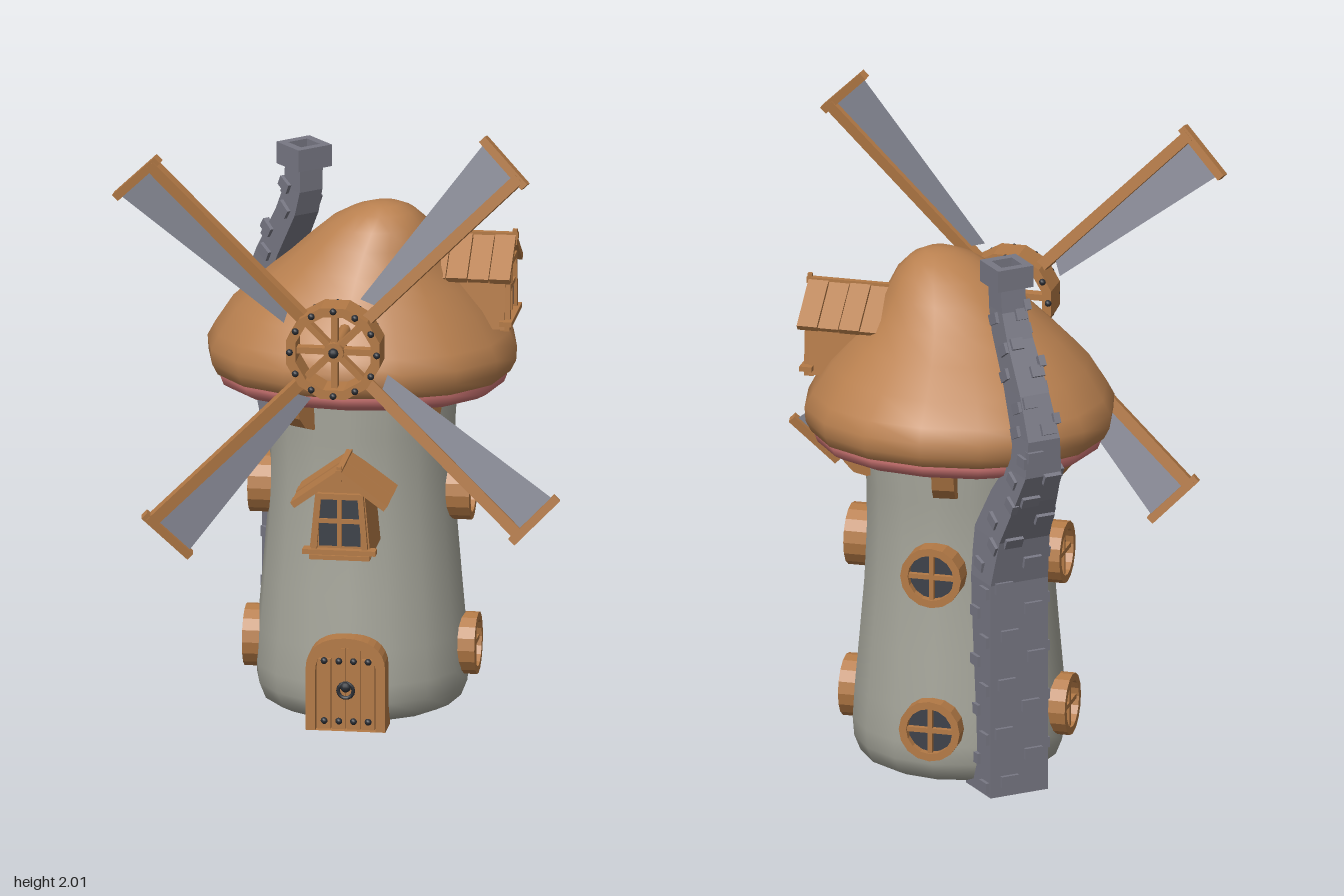
import * as THREE from 'three';
import { mergeVertices } from 'three/addons/utils/BufferGeometryUtils.js';

const mat = (name, color, extra = {}) => Object.assign(new THREE.MeshStandardMaterial({ color, ...extra }), { name });
const AXIS_Z = -0.09; // tower axis

export function createModel() {
  const wood = mat('wood', 0xb47a46);
  const cap = mat('cap', 0xba8150);
  const gill = mat('gill', 0xcf7674);
  const plaster = mat('plaster', 0xa6a69b);
  const stone = mat('stone', 0x787884);
  const glass = mat('glass', 0x3d4149);
  const iron = mat('iron', 0x2b2e34);
  const sail = mat('sail', 0x8b8d99, { side: THREE.DoubleSide });

  const model = new THREE.Group();
  const group = (name, parent, x = 0, y = 0, z = 0, ry = 0) => {
    const g = new THREE.Group();
    g.name = name;
    g.position.set(x, y, z);
    g.rotation.y = ry;
    parent.add(g);
    return g;
  };
  const add = (parent, name, geo, m, x = 0, y = 0, z = 0) => {
    const mesh = new THREE.Mesh(geo, m);
    mesh.name = name;
    mesh.position.set(x, y, z);
    parent.add(mesh);
    return mesh;
  };
  const box = (parent, name, m, w, h, d, x, y, z) => add(parent, name, new THREE.BoxGeometry(w, h, d), m, x, y, z);
  const V2 = (pts) => pts.map(([x, y]) => new THREE.Vector2(x, y));
  const polygon = (r, n, phase = 0) => V2(Array.from({ length: n }, (_, i) => {
    const a = phase + (i / n) * Math.PI * 2;
    return [r * Math.cos(a), r * Math.sin(a)];
  }));
  const extrude = (shape, depth) => new THREE.ExtrudeGeometry(shape, { depth, bevelEnabled: false, curveSegments: 8 });
  const ring = (outer, inner, depth, n, phase = 0) => {
    const s = new THREE.Shape(polygon(outer, n, phase));
    s.holes.push(new THREE.Path(polygon(inner, n, phase)));
    return extrude(s, depth);
  };

  // Smooth turned body whose vertices are shifted by a rule
  const turned = (pts, rule) => {
    let g = new THREE.LatheGeometry(V2(pts), 16);
    g.deleteAttribute('uv');
    g.deleteAttribute('normal');
    const p = g.attributes.position;
    for (let i = 0; rule && i < p.count; i++) {
      const v = new THREE.Vector3().fromBufferAttribute(p, i);
      rule(v);
      p.setXYZ(i, v.x, v.y, v.z);
    }
    g = mergeVertices(g, 1e-4);
    g.computeVertexNormals();
    return g;
  };

  // Tower
  add(model, 'tower', turned([[0, 0.01], [0.27, 0.01], [0.31, 0.03], [0.33, 0.08], [0.335, 0.14], [0.328, 0.25],
    [0.313, 0.42], [0.298, 0.6], [0.29, 0.78], [0.292, 0.92], [0.3, 1.04], [0.3, 1.16]]), plaster, 0, 0, AXIS_Z);

  // Drooping cap with its peak pushed off the axis
  const lean = (v) => {
    const t = THREE.MathUtils.clamp((v.y - 1.25) / 0.39, 0, 1);
    const side = Math.pow(v.x / (Math.hypot(v.x, v.z) || 1), 2);
    v.y -= v.y < 1.25 ? 0.025 * side : 0;
    v.x += 0.085 * t * t;
    v.z += 0.075 * t;
  };
  add(model, 'mushroomCap', turned([[0.44, 1.1], [0.465, 1.11], [0.483, 1.145], [0.486, 1.19], [0.462, 1.235], [0.405, 1.3],
    [0.325, 1.38], [0.255, 1.45], [0.2, 1.52], [0.155, 1.575], [0.1, 1.615], [0.05, 1.635], [0, 1.64]], lean), cap, 0, 0, AXIS_Z);
  add(model, 'capUnderside', turned([[0.28, 1.14], [0.35, 1.105], [0.385, 1.068], [0.415, 1.058], [0.445, 1.075],
    [0.455, 1.1], [0.45, 1.125]], lean), gill, 0, 0, AXIS_Z);

  // Brackets under the cap
  const bracketShape = new THREE.Shape(V2([[0.26, 0.95], [0.3, 0.95], [0.34, 0.965], [0.37, 1], [0.385, 1.05], [0.39, 1.12], [0.26, 1.12]]));
  for (let i = 0; i < 5; i++) {
    const g = group('bracket', model, 0, 0, AXIS_Z, THREE.MathUtils.degToRad(43 + i * 72) - Math.PI / 2);
    add(g, 'bracketBlock', extrude(bracketShape, 0.07), wood, 0, 0, -0.035);
  }

  // Round windows in two rows on both sides and the back
  for (const a of [1, 2, 3]) for (const [y, r] of [[0.2, 0.365], [0.7, 0.348]]) {
    const turn = group('roundWindow', model, 0, y, AXIS_Z, a * Math.PI / 2);
    const w = group('windowParts', turn, 0, 0, r);
    add(w, 'windowFrame', ring(0.098, 0.074, 0.1, 16), wood, 0, 0, -0.1);
    add(w, 'windowGlass', new THREE.CircleGeometry(0.08, 16), glass, 0, 0, -0.025);
    box(w, 'windowBar', wood, 0.015, 0.15, 0.02, 0, 0, -0.018);
    box(w, 'windowBar', wood, 0.15, 0.015, 0.02, 0, 0, -0.018);
  }

  // Arched door
  const arch = (w, h, C) => {
    const s = new C();
    s.moveTo(-w, 0.008);
    s.lineTo(w, 0.008);
    s.lineTo(w, h - w * 0.8);
    s.bezierCurveTo(w, h - w * 0.25, w * 0.55, h, 0, h);
    s.bezierCurveTo(-w * 0.55, h, -w, h - w * 0.25, -w, h - w * 0.8);
    s.closePath();
    return s;
  };
  const door = group('door', model);
  const frame = arch(0.125, 0.308, THREE.Shape);
  frame.holes.push(arch(0.095, 0.278, THREE.Path));
  add(door, 'doorFrame', extrude(frame, 0.11), wood, 0, 0, 0.18);
  add(door, 'doorBoard', extrude(arch(0.096, 0.279, THREE.Shape), 0.07), wood, 0, 0, 0.19);
  for (const x of [-0.069, -0.023, 0.023, 0.069]) {
    const h = Math.abs(x) > 0.05 ? 0.225 : 0.262;
    box(door, 'doorPlank', wood, 0.041, h, 0.02, x, 0.01 + h / 2, 0.265);
    for (const y of [0.036, 0.23]) add(door, 'doorStud', new THREE.SphereGeometry(0.011, 8, 6), iron, x, y, 0.275);
  }
  add(door, 'doorKnob', new THREE.SphereGeometry(0.017, 10, 8), iron, 0, 0.15, 0.285);
  add(door, 'doorRing', new THREE.TorusGeometry(0.024, 0.006, 6, 14), iron, 0, 0.138, 0.284);

  // Gabled dormers: origin at the middle of the front wall's foot
  const wallShape = new THREE.Shape(V2([[-0.097, 0], [0.097, 0], [0.078, 0.2], [0, 0.262], [-0.078, 0.2]]));
  const dormer = (name, x, y, z, ry, depth) => {
    const d = group(name, model, x, y, z, ry);
    add(d, 'dormerWalls', extrude(wallShape, depth), wood, 0, 0, -depth);
    box(d, 'dormerSill', wood, 0.23, 0.016, 0.04, 0, 0.022, 0.005);
    box(d, 'dormerFoot', wood, 0.19, 0.014, 0.03, 0, 0.002, 0);
    box(d, 'dormerGlass', glass, 0.13, 0.155, 0.008, 0, 0.116, 0.001);
    for (const s of [-1, 1]) {
      box(d, 'windowPost', wood, 0.018, 0.17, 0.025, s * 0.073, 0.115, 0.004).rotation.z = s * 0.08;
      // overlapping roof planks
      for (let i = 0; i < 4; i++) {
        const len = (depth + 0.03) / 4;
        const plank = box(d, 'roofPlank', wood, 0.182, i % 2 ? 0.016 : 0.021, len - 0.003, s * 0.073, 0.223, 0.025 - len * (i + 0.5));
        plank.rotation.z = -s * 0.63;
      }
    }
    box(d, 'windowHeader', wood, 0.15, 0.018, 0.025, 0, 0.2, 0.004);
    box(d, 'windowBar', wood, 0.014, 0.155, 0.016, 0, 0.116, 0.004);
    box(d, 'windowBar', wood, 0.13, 0.014, 0.016, 0, 0.12, 0.004);
    box(d, 'ridgePole', wood, 0.018, 0.02, depth + 0.04, 0, 0.279, 0.01 - depth / 2);
    box(d, 'ridgePeak', wood, 0.014, 0.05, 0.014, 0, 0.275, 0.02);
  };
  dormer('frontDormer', 0, 0.607, 0.415, 0, 0.22);
  dormer('capDormer', 0.46, 1.245, AXIS_Z, Math.PI / 2, 0.24);

  // Stone chimney bent round the brim; rows are y, inner and outer distance, width
  const rows = [[0, 0.24, 0.41, 0.2], [0.7, 0.24, 0.41, 0.2], [0.85, 0.27, 0.445, 0.175], [1, 0.36, 0.525, 0.145], [1.1, 0.44, 0.575, 0.125],
    [1.22, 0.46, 0.58, 0.11], [1.35, 0.4, 0.515, 0.1], [1.5, 0.31, 0.415, 0.09], [1.58, 0.285, 0.375, 0.085], [1.67, 0.282, 0.365, 0.085]];
  const chimney = group('chimney', model, 0, 0, AXIS_Z, THREE.MathUtils.degToRad(222));
  const n = rows.length - 1;
  const shaft = new THREE.BoxGeometry(1, 1, 1, 1, n, 1);
  const sp = shaft.attributes.position;
  for (let i = 0; i < sp.count; i++) {
    const [y, inner, outer, w] = rows[Math.round((sp.getY(i) + 0.5) * n)];
    sp.setXYZ(i, sp.getX(i) * w, y, sp.getZ(i) > 0 ? outer : inner);
  }
  const flat = shaft.toNonIndexed();
  flat.computeVertexNormals();
  add(chimney, 'chimneyShaft', flat, stone);
  add(chimney, 'chimneyTop', ring(0.088, 0.05, 0.07, 4, Math.PI / 4).rotateX(-Math.PI / 2), stone, 0, 1.656, 0.324);

  // Raised bricks on the outer and side faces
  for (let i = 0; i < 20; i++) {
    const y = 0.05 + i * 0.08;
    const k = Math.max(1, rows.findIndex((r) => r[0] >= y));
    const a = rows[k - 1], b = rows[k];
    const t = (y - a[0]) / (b[0] - a[0]);
    const [, inner, outer, w] = a.map((v, j) => v + (b[j] - v) * t);
    const tilt = Math.atan((b[2] - a[2]) / (b[0] - a[0]));
    const s = i % 2 ? 1 : -1;
    box(chimney, 'brick', stone, Math.min(0.06, w * 0.45), 0.036, 0.024, s * w * (0.18 + 0.05 * (i % 3)), y, outer).rotation.x = tilt;
    for (const side of [-1, 1]) {
      const z = THREE.MathUtils.lerp(inner, outer, s * side > 0 ? 0.8 : 0.45);
      box(chimney, 'brick', stone, 0.022, 0.034, 0.05, side * w / 2, y + 0.02 * side, z).rotation.x = tilt;
    }
  }

  // Windmill wheel
  const mill = group('windmill', model, 0, 1.31, 0);
  add(mill, 'axle', new THREE.CylinderGeometry(0.016, 0.021, 0.32, 10).rotateX(Math.PI / 2), wood, 0, 0, 0.4);
  add(mill, 'wheelRim', ring(0.152, 0.122, 0.104, 12, Math.PI / 12), wood, 0, 0, 0.465);
  add(mill, 'wheelHub', new THREE.CylinderGeometry(0.032, 0.032, 0.08, 12).rotateX(Math.PI / 2), wood, 0, 0, 0.52);
  add(mill, 'hubBolt', new THREE.SphereGeometry(0.016, 10, 8), iron, 0, 0, 0.562);
  for (let i = 0; i < 4; i++) {
    box(mill, 'spoke', wood, 0.25, 0.02, 0.035, 0, 0, 0.525).rotation.z = i * Math.PI / 4;
  }
  for (const [i, p] of polygon(0.137, 12, 0).entries()) for (const z of [0.465, 0.569]) {
    add(mill, 'rimStud' + i, new THREE.SphereGeometry(0.011, 8, 6), iron, p.x, p.y, z);
  }

  // Four blades: spar on the leading edge, tapered sail swept back from it
  const cloth = new THREE.Shape(V2([[0.2, 0], [0.81, 0], [0.81, 0.155], [0.17, 0.062]]));
  for (let i = 0; i < 4; i++) {
    const turn = group('blade', mill, 0, 0, 0.52);
    turn.rotation.z = Math.PI / 4 + i * Math.PI / 2;
    const b = group('bladeParts', turn);
    b.rotation.x = -0.2;
    box(b, 'spar', wood, 0.69, 0.036, 0.034, 0.475, 0, 0);
    box(b, 'tipBar', wood, 0.026, 0.2, 0.03, 0.815, 0.068, 0);
    add(b, 'sailCloth', new THREE.ShapeGeometry(cloth), sail);
  }
  return model;
}
